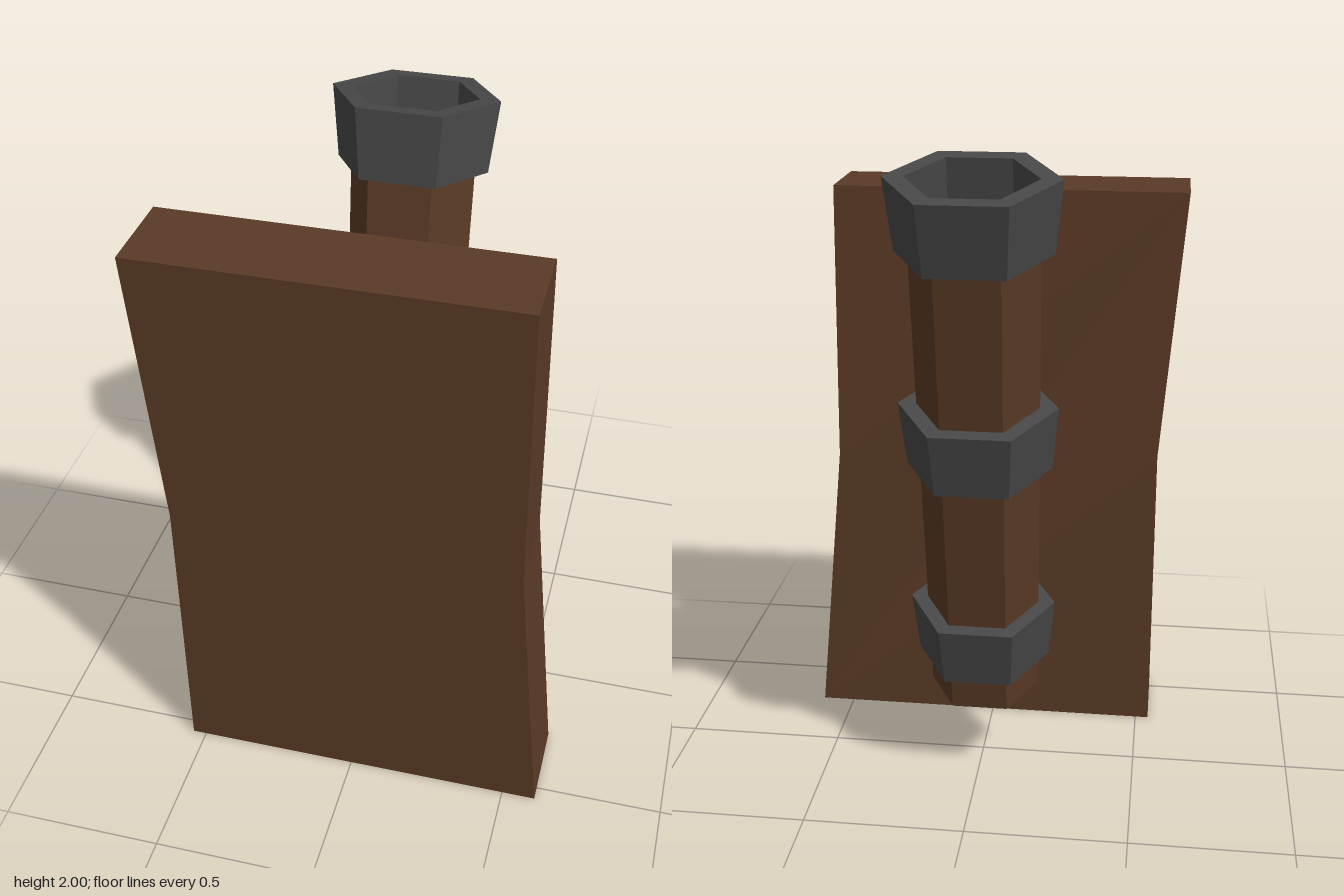
import * as THREE from 'three';

export function createModel() {
  const model = new THREE.Group();
  const wood = new THREE.MeshStandardMaterial({ name: 'darkWood', color: 0x5a3a26, flatShading: true });
  const iron = new THREE.MeshStandardMaterial({ name: 'darkIron', color: 0x484848, flatShading: true });

  const add = (parent, name, geometry, material) => {
    const mesh = new THREE.Mesh(geometry, material);
    mesh.name = name;
    parent.add(mesh);
    return mesh;
  };

  // Six-sided solid from a [radius, height] profile, with corners on the x axis
  const hexagon = (profile) => new THREE.LatheGeometry(
    profile.map(([r, y]) => new THREE.Vector2(r, y)), 6, Math.PI / 6);

  // Slightly crooked mounting board
  const outline = new THREE.Shape([
    [-0.543, 0], [0.605, 0], [0.52, 0.93], [0.511, 1.83], [-0.607, 1.83], [-0.538, 0.95],
  ].map(([x, y]) => new THREE.Vector2(x, y)));
  const board = new THREE.ExtrudeGeometry(outline, { depth: 0.274, bevelEnabled: false });
  add(model, 'mountingBoard', board.translate(0, 0, 0.27), wood);

  // Torch leaning away from the board; heights run along its own axis
  const torch = new THREE.Group();
  torch.name = 'torch';
  torch.position.set(-0.009, 0.278, -0.031);
  torch.rotation.x = -THREE.MathUtils.degToRad(10);
  model.add(torch);

  add(torch, 'handle', hexagon([[0, 0], [0.173, 0], [0.19, 1.54], [0, 1.54]]), wood);

  // Flared bands around the handle
  for (const [name, y0, y1, r0, r1] of [
    ['lowerBand', 0.121, 0.319, 0.209, 0.228],
    ['upperBand', 0.809, 1.012, 0.22, 0.24],
  ]) add(torch, name, hexagon([[0, y0], [r0, y0], [r1, y1], [0, y1]]), iron);

  // Hollow cup at the top
  add(torch, 'cup', hexagon([
    [0, 1.495], [0.229, 1.495], [0.252, 1.711], [0.19, 1.711], [0.19, 1.58], [0, 1.58],
  ]), iron);

  // Brackets joining the bands to the board
  for (const [name, y, z] of [['lowerBracket', 0.53, 0.05], ['upperBracket', 1.208, -0.05]]) {
    const bracket = add(model, name, new THREE.BoxGeometry(0.153, 0.073, 0.28 - z), iron);
    bracket.position.set(-0.009, y, (0.28 + z) / 2);
  }

  return model;
}
